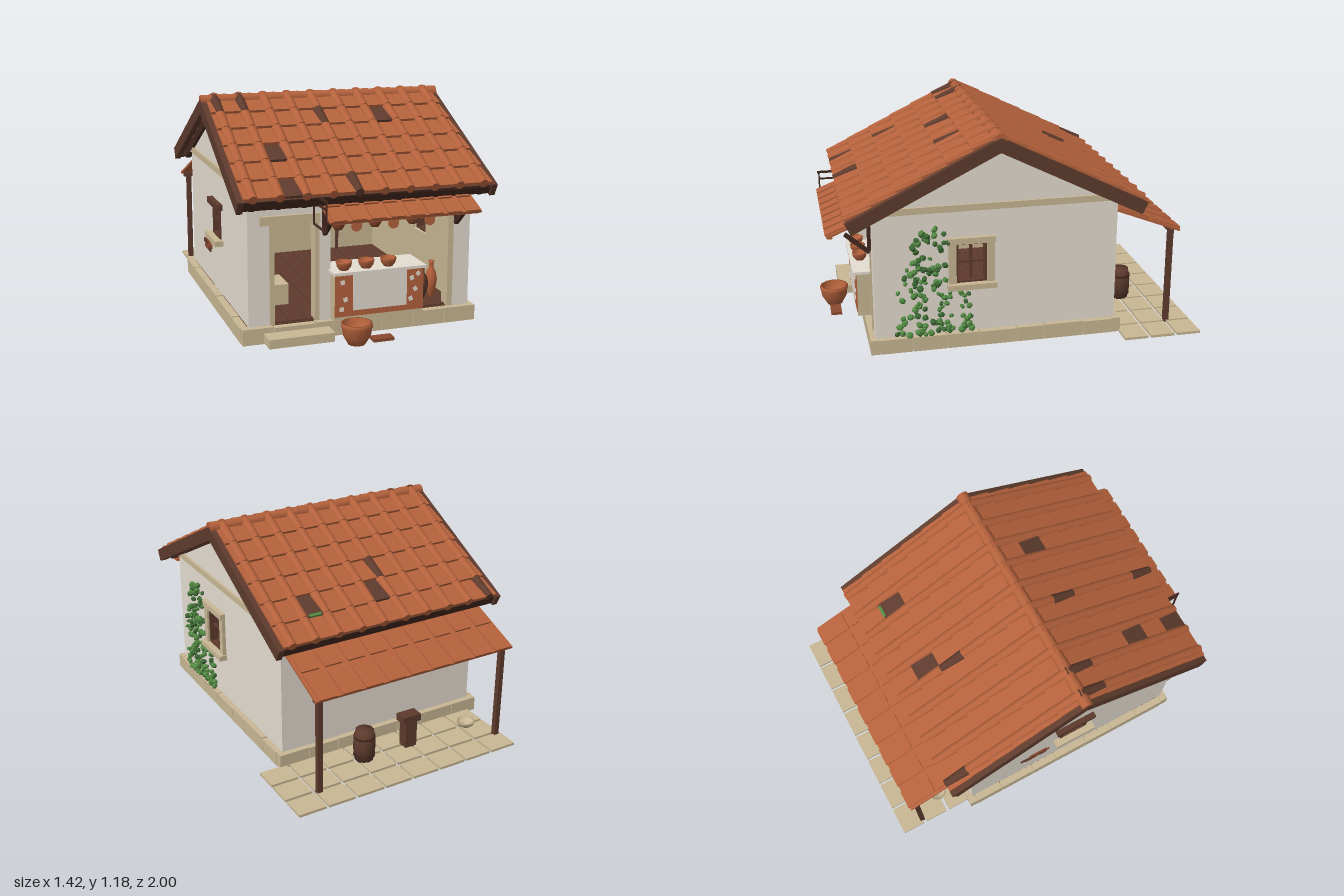
import * as THREE from 'three';

const mat = (name, color) => Object.assign(new THREE.MeshStandardMaterial({ color }), { name });
const M = {
  tile: mat('terracotta', 0xb5623c), clay: mat('dark clay', 0x8c4a2e), wood: mat('wood', 0x5e3b2d),
  dark: mat('dark wood', 0x44281f), stone: mat('sandstone', 0xc9b894), plaster: mat('plaster', 0xe5ddd1),
  leaf: mat('leaf green', 0x528a43), leafDark: mat('dark leaf green', 0x3c6834),
};
const CX = -0.03; // house centre in x

let seed = 7;
const rnd = () => (seed = (seed * 16807) % 2147483647) / 2147483647;

function add(p, name, geo, m, x = 0, y = 0, z = 0) {
  const o = new THREE.Mesh(geo, m);
  o.name = name;
  o.position.set(x, y, z);
  p.add(o);
  return o;
}
const box = (p, name, m, x0, x1, y0, y1, z0, z1) =>
  add(p, name, new THREE.BoxGeometry(x1 - x0, y1 - y0, z1 - z0), m, (x0 + x1) / 2, (y0 + y1) / 2, (z0 + z1) / 2);
const cyl = (p, name, m, r0, r1, h, x, y, z, n = 10) =>
  add(p, name, new THREE.CylinderGeometry(r0, r1, h, n), m, x, y, z);
function group(p, name, x = 0, y = 0, z = 0) {
  const g = new THREE.Group();
  g.name = name;
  g.position.set(x, y, z);
  p.add(g);
  return g;
}
const lathe = (p, name, m, pts, x, y, z, n = 12) =>
  add(p, name, new THREE.LatheGeometry(pts.map(([a, b]) => new THREE.Vector2(a, b)), n), m, x, y, z);
const bowl = (p, name, m, r, h, x, y, z) => lathe(p, name, m,
  [[0, 0], [r * 0.55, 0], [r * 0.9, h * 0.45], [r * 0.95, h * 0.8], [r, h * 0.82], [r, h], [r * 0.86, h], [r * 0.8, h * 0.5], [0, h * 0.2]], x, y, z);
const amphora = (p, m, r, h, x, y, z) => lathe(p, 'amphora', m,
  [[0, 0], [r * 0.35, 0], [r * 0.85, h * 0.3], [r, h * 0.5], [r * 0.8, h * 0.7], [r * 0.4, h * 0.82], [r * 0.4, h * 0.94], [r * 0.55, h], [0, h]], x, y, z);

// Wall slab from an outline with rectangular holes [x0, x1, y0, y1]
function slab(outline, holes, depth) {
  const v = (a) => a.map(([x, y]) => new THREE.Vector2(x, y));
  const s = new THREE.Shape(v(outline));
  for (const [a, b, c, d] of holes) s.holes.push(new THREE.Path(v([[a, c], [a, d], [b, d], [b, c]])));
  return new THREE.ExtrudeGeometry(s, { depth, bevelEnabled: false });
}

// Window built facing +z around the origin
function windowSet(p, name, w, h, framed) {
  const g = group(p, name);
  const W = w / 2, H = h / 2;
  for (const s of [-1, 1]) {
    box(g, 'sash side', M.wood, s * W - 0.01, s * W + 0.01, -H, H, -0.04, 0.008);
    box(g, 'sash rail', M.wood, -W, W, s * H - 0.01, s * H + 0.01, -0.04, 0.008);
    if (framed) box(g, 'stone jamb', M.stone, s * (W + 0.022) - 0.02, s * (W + 0.022) + 0.02, -H - 0.02, H + 0.02, -0.05, 0.02);
  }
  box(g, 'mullion', M.wood, -0.007, 0.007, -H, H, -0.025, -0.01);
  box(g, 'glazing bar', M.wood, -W, W, -0.006, 0.006, -0.025, -0.01);
  box(g, 'lintel', framed ? M.stone : M.wood, -W - 0.045, W + 0.045, H, H + 0.033, -0.04, 0.03);
  box(g, 'sill', M.stone, -W - 0.05, W + 0.05, -H - 0.03, -H, -0.05, 0.045);
  return g;
}

function buildBase(g) {
  box(g, 'floor', M.wood, -0.63, 0.56, 0.04, 0.083, -0.54, 0.74);
  for (let i = 0; i < 12; i++) box(g, 'floorboard', M.wood, -0.6 + i * 0.095, -0.51 + i * 0.095, 0.08, 0.09, -0.5, 0.73);
  // Stone blocks around the foot of the walls
  const run = (from, to, put) => {
    const cuts = [0, 0.13, 0.3, 0.42, 0.58, 0.72, 0.86, 1];
    for (let i = 0; i < 7; i++) put(from + (to - from) * cuts[i] + 0.002, from + (to - from) * cuts[i + 1] - 0.002, rnd() * 0.006);
  };
  for (const [a, b] of [[0.735, 0.78], [-0.58, -0.535]]) run(-0.67, 0.6, (s, e, r) => box(g, 'foundation stone', M.stone, s, e, 0, 0.083 - r, a, b));
  for (const [a, b] of [[-0.67, -0.625], [0.555, 0.6]]) run(-0.535, 0.735, (s, e, r) => box(g, 'foundation stone', M.stone, a, b, 0, 0.083 - r, s, e));
  box(g, 'door step', M.stone, -0.56, -0.22, 0.008, 0.055, 0.78, 0.88);
  // Rear paving
  for (let i = 0; i < 8; i++) for (let j = 0; j < 3; j++)
    box(g, 'paving slab', M.stone, -0.62 + i * 0.1685, -0.465 + i * 0.1685, 0, 0.014, -1 + j * 0.148, -0.868 + j * 0.148);
}

function buildWalls(g) {
  const gable = [[0.75, 0.08], [0.75, 0.78], [0.1, 1.105], [-0.55, 0.78], [-0.55, 0.08]];
  const inner = [[0.7, 0.085], [0.7, 0.78], [0.1, 1.08], [-0.5, 0.78], [-0.5, 0.085]];
  const sides = [[0.57, 1, [0.16, 0.32, 0.36, 0.58]], [-0.63, -1, [0.035, 0.185, 0.395, 0.56]]];
  for (const [x, s, hole] of sides) {
    add(g, 'gable wall', slab(gable, [hole], 0.05).rotateY(-Math.PI / 2), M.plaster, s > 0 ? x : x + 0.05);
    add(g, 'inner lining', slab(inner, [hole], 0.006).rotateY(-Math.PI / 2), M.stone, s > 0 ? x - 0.05 : x + 0.056);
    box(g, 'gable ledge', M.stone, x - 0.014, x + 0.014, 0.755, 0.79, -0.53, 0.73);
    const w = windowSet(g, 'side window', hole[1] - hole[0], hole[3] - hole[2], s > 0);
    w.position.set(x, (hole[2] + hole[3]) / 2, (hole[0] + hole[1]) / 2);
    w.rotation.y = s * Math.PI / 2;
  }
  // Exposed brick on the right side
  for (const [z, y, l, m] of [[-0.2, 0.255, 0.08, M.clay], [-0.11, 0.255, 0.05, M.wood], [-0.23, 0.28, 0.09, M.wood], [-0.13, 0.28, 0.09, M.clay], [-0.17, 0.305, 0.11, M.clay]])
    box(g, 'exposed brick', m, -0.637, -0.62, y, y + 0.021, z, z + l);

  const rect = (x0, x1, y0, y1) => [[x0, y0], [x1, y0], [x1, y1], [x0, y1]];
  const rearHole = [0.035, 0.185, 0.395, 0.56];
  add(g, 'rear wall', slab(rect(-0.629, 0.569, 0.08, 0.78), [rearHole], 0.05), M.plaster, 0, 0, -0.55);
  add(g, 'rear lining', slab(rect(-0.58, 0.52, 0.085, 0.78), [rearHole], 0.006), M.stone, 0, 0, -0.5);
  const rw = windowSet(g, 'rear window', 0.15, 0.165, false);
  rw.position.set(0.11, 0.4775, -0.55);
  rw.rotation.y = Math.PI;

  // Open front: doorway and serving hatch
  const front = [[-0.629, 0.08], [-0.52, 0.08], [-0.52, 0.61], [-0.28, 0.61], [-0.28, 0.08], [-0.2, 0.08], [-0.2, 0.64],
    [0.46, 0.64], [0.46, 0.08], [0.569, 0.08], [0.569, 0.78], [-0.629, 0.78]];
  add(g, 'front wall', slab(front, [], 0.05), M.plaster, 0, 0, 0.7);
  box(g, 'door lintel', M.stone, -0.57, -0.26, 0.6, 0.645, 0.69, 0.77);
  for (const x of [-0.52, -0.285]) box(g, 'door jamb', M.stone, x, x + 0.025, 0.085, 0.6, 0.69, 0.757);
  box(g, 'hatch jamb', M.stone, 0.445, 0.475, 0.085, 0.64, 0.69, 0.757);
  box(g, 'hatch beam', M.wood, -0.2, 0.46, 0.615, 0.645, 0.69, 0.757);
}

function buildRoof(g) {
  const roof = group(g, 'roof', CX, 1.145, 0.1);
  const a = Math.atan(0.5), L = 0.883, row = (L - 0.012) / 6, pitch = 0.134;
  // Aged tiles as column,row per slope
  const agedPan = [['6,1', '1,3', '1,5'], ['4,4', '1,4']];
  const agedCover = [['0,0', '1,0', '4,1', '4,5'], ['5,3', '9,5']];
  for (const s of [0, 1]) {
    const slope = group(roof, s ? 'rear slope' : 'front slope');
    slope.rotation.order = 'YXZ';
    slope.rotation.set(a, s * Math.PI, 0);
    box(slope, 'roof deck', M.wood, -0.65, 0.65, -0.022, -0.006, 0, L - 0.01);
    box(slope, 'fascia', M.dark, -0.65, 0.65, -0.06, -0.006, L - 0.035, L - 0.01);
    for (const e of [-1, 1]) box(slope, 'barge board', M.wood, e * 0.665 - 0.015, e * 0.665 + 0.015, -0.067, 0.002, 0, L);
    for (let c = 0; c < 10; c++) {
      const x = (c - 4.5) * pitch;
      box(slope, 'rafter', M.dark, x - 0.014, x + 0.014, -0.068, -0.022, 0.02, L - 0.015);
      for (let r = 0; r < 6; r++) {
        const z = (r + 0.5) * row, key = c + ',' + r;
        const cov = cyl(slope, 'cover tile', agedCover[s].includes(key) ? M.wood : M.tile, 0.023, 0.03, row + 0.024, x, 0.003, z - 0.005, 12);
        cov.rotation.x = Math.PI / 2 - 0.07;
        const pan = (u, w, m) => {
          const t = box(slope, 'pan tile', m, u - w / 2, u + w / 2, -0.003, 0.01, z - row / 2 - 0.006, z + row / 2 + 0.006);
          t.rotation.x = -0.1;
        };
        if (c < 9) pan(x + pitch / 2, 0.128, agedPan[s].includes(key) ? M.wood : M.tile);
        if (c === 0 || c === 9) pan(x + (c ? 0.025 : -0.025), 0.044, M.tile);
      }
    }
    // Moss at the edge of one aged tile
    if (s) box(slope, 'moss', M.leaf, -3 * pitch - 0.035, -3 * pitch + 0.035, 0.008, 0.019, 5 * row - 0.008, 5 * row + 0.008);
  }
  for (let i = 0; i < 10; i++) {
    const t = cyl(roof, 'ridge tile', M.tile, 0.031, 0.035, 0.142, (i - 4.5) * 0.135, -0.009, 0);
    t.rotation.z = Math.PI / 2;
  }
}

// Lean-to roof with its top edge at the group origin, sloping towards local +z
function leanTo(p, name, w, len, angle, n, rows) {
  const g = group(p, name);
  g.rotation.order = 'YXZ';
  g.rotation.x = angle;
  box(g, 'tile bed', M.tile, -w / 2, w / 2, -0.008, 0.005, 0, len);
  const step = len / rows;
  for (let i = 0; i < n; i++) for (let r = 0; r < rows; r++) {
    const x = (i + 0.5 - n / 2) * w / n;
    box(g, 'raised tile', M.tile, x - w / n * 0.37, x + w / n * 0.37, 0.003, 0.013, r * step + 0.02, (r + 1) * step + 0.003).rotation.x = -0.02;
  }
  return g;
}

function buildPorch(g) {
  const r = leanTo(g, 'porch roof', 1.2, 0.386, 0.372, 9, 2);
  r.position.set(CX, 0.695, -0.55);
  r.rotation.y = Math.PI;
  box(g, 'porch beam', M.wood, -0.62, 0.56, 0.535, 0.555, -0.88, -0.86);
  for (const x of [-0.59, 0.53]) box(g, 'porch post', M.wood, x - 0.014, x + 0.014, 0, 0.545, -0.884, -0.856);
  lathe(g, 'barrel', M.wood, [[0, 0], [0.05, 0], [0.062, 0.08], [0.06, 0.12], [0.05, 0.18], [0, 0.18]], 0.17, 0.01, -0.72, 10);
  for (const y of [0.045, 0.15]) cyl(g, 'barrel hoop', M.dark, 0.06, 0.06, 0.012, 0.17, y, -0.72, 10);
  box(g, 'stool top', M.wood, -0.165, -0.055, 0.165, 0.205, -0.755, -0.685);
  box(g, 'stool leg', M.wood, -0.145, -0.075, 0.01, 0.165, -0.75, -0.69);
  bowl(g, 'water basin', M.stone, 0.05, 0.035, -0.5, 0.012, -0.72);
}

function buildShopfront(g) {
  // Awning and its braces
  leanTo(g, 'awning', 0.8, 0.25, 0.4, 8, 2).position.set(0.12, 0.738, 0.745);
  box(g, 'awning edge', M.tile, -0.27, 0.51, 0.63, 0.648, 0.945, 0.968);
  for (const x of [-0.235, 0.485]) {
    const b = box(g, 'awning brace', M.dark, x - 0.011, x + 0.011, 0.578, 0.598, 0.74, 0.9);
    b.rotation.x = -0.72;
    box(g, 'brace foot', M.dark, x - 0.011, x + 0.011, 0.55, 0.7, 0.75, 0.768);
  }
  // Empty hanging frame beside the door
  const f = group(g, 'hanging frame', -0.295);
  box(f, 'bracket', M.dark, -0.005, 0.005, 0.738, 0.75, 0.75, 0.97);
  for (const y of [0.59, 0.7]) box(f, 'frame rail', M.dark, -0.004, 0.004, y, y + 0.009, 0.77, 0.965);
  for (const z of [0.77, 0.957]) box(f, 'frame side', M.dark, -0.004, 0.004, 0.59, 0.745, z, z + 0.008);

  // Counter with a tiled front
  box(g, 'counter body', M.stone, -0.2, 0.28, 0.085, 0.33, 0.63, 0.815);
  box(g, 'counter front', M.tile, -0.2, 0.28, 0.11, 0.33, 0.815, 0.82);
  box(g, 'counter panel', M.plaster, -0.105, 0.187, 0.14, 0.33, 0.819, 0.824);
  box(g, 'counter top', M.plaster, -0.21, 0.29, 0.33, 0.345, 0.62, 0.835);
  for (const [x, y] of [[-0.16, 0.29], [-0.145, 0.2], [-0.165, 0.15], [0.215, 0.28], [0.235, 0.22], [0.21, 0.17], [0.25, 0.3]])
    box(g, 'plaster chip', M.plaster, x - 0.011, x + 0.011, y - 0.011, y + 0.011, 0.819, 0.823).rotation.z = x * 9;
  for (const x of [-0.14, -0.02, 0.1]) bowl(g, 'counter bowl', M.tile, 0.042, 0.045, x, 0.345, 0.78);

  // Hanging wares
  box(g, 'hanging rail', M.dark, -0.2, 0.45, 0.605, 0.615, 0.66, 0.672);
  for (const x of [-0.13, 0.07, 0.28]) {
    bowl(g, 'hanging bowl', M.clay, 0.037, 0.045, x, 0.525, 0.666);
    for (const s of [-1, 1]) cyl(g, 'bowl cord', M.dark, 0.002, 0.002, 0.05, x + s * 0.016, 0.586, 0.666, 5).rotation.z = s * 0.75;
  }
  for (const x of [-0.03, 0.175, 0.38]) {
    cyl(g, 'hanging plate', M.tile, 0.029, 0.029, 0.01, x, 0.535, 0.666, 14).rotation.x = Math.PI / 2;
    cyl(g, 'plate cord', M.dark, 0.002, 0.002, 0.05, x, 0.585, 0.666, 5);
  }
  // Shelf rack on the rear wall
  for (const x of [-0.19, 0.26]) box(g, 'rack post', M.wood, x - 0.008, x + 0.008, 0.09, 0.62, -0.47, -0.45);
  for (const y of [0.375, 0.51]) box(g, 'rack shelf', M.wood, -0.2, 0.27, y, y + 0.016, -0.49, -0.43);
  for (const x of [-0.14, -0.06, 0.03, 0.12, 0.2]) bowl(g, 'shelf bowl', M.clay, 0.028, 0.035, x, 0.526, -0.46);
  for (const x of [-0.125, -0.04, 0.1, 0.19]) bowl(g, 'small bowl', M.tile, 0.028, 0.032, x, 0.391, -0.46);

  // Stove, pots and jars
  box(g, 'stove', M.stone, -0.49, -0.34, 0.085, 0.2, 0.3, 0.48);
  lathe(g, 'cooking pot', M.dark, [[0, 0], [0.036, 0], [0.046, 0.03], [0.046, 0.055], [0.038, 0.07], [0, 0.06]], -0.44, 0.2, 0.39);
  amphora(g, M.wood, 0.037, 0.18, 0.36, 0.09, 0.62);
  amphora(g, M.tile, 0.032, 0.2, 0.425, 0.09, 0.6);
  bowl(g, 'large pot', M.tile, 0.08, 0.11, -0.12, 0, 0.918);
  box(g, 'floor tile', M.clay, -0.04, 0.07, 0.006, 0.022, 0.89, 0.95);
}

function buildIvy(g) {
  const ivy = group(g, 'ivy');
  for (let i = 0; i < 150; i++) {
    const t = Math.pow(rnd(), 1.2), y = 0.09 + t * 0.59;
    const z = 0.445 + (rnd() - 0.5) * (t < 0.35 ? 0.4 : 0.4 - 0.36 * (t - 0.35));
    if (z < 0.375 && y > 0.32 && y < 0.62 && i % 6) continue;
    const l = add(ivy, 'ivy leaf', new THREE.IcosahedronGeometry(0.014 + rnd() * 0.008, 0), i % 3 ? M.leaf : M.leafDark, 0.583 + rnd() * 0.016, y, z);
    l.rotation.set(rnd() * 3, rnd() * 3, rnd() * 3);
    l.scale.y = 0.75;
  }
}

export function createModel() {
  const g = new THREE.Group();
  g.name = 'tavern';
  for (const build of [buildBase, buildWalls, buildRoof, buildPorch, buildShopfront, buildIvy]) build(g);
  return g;
}
